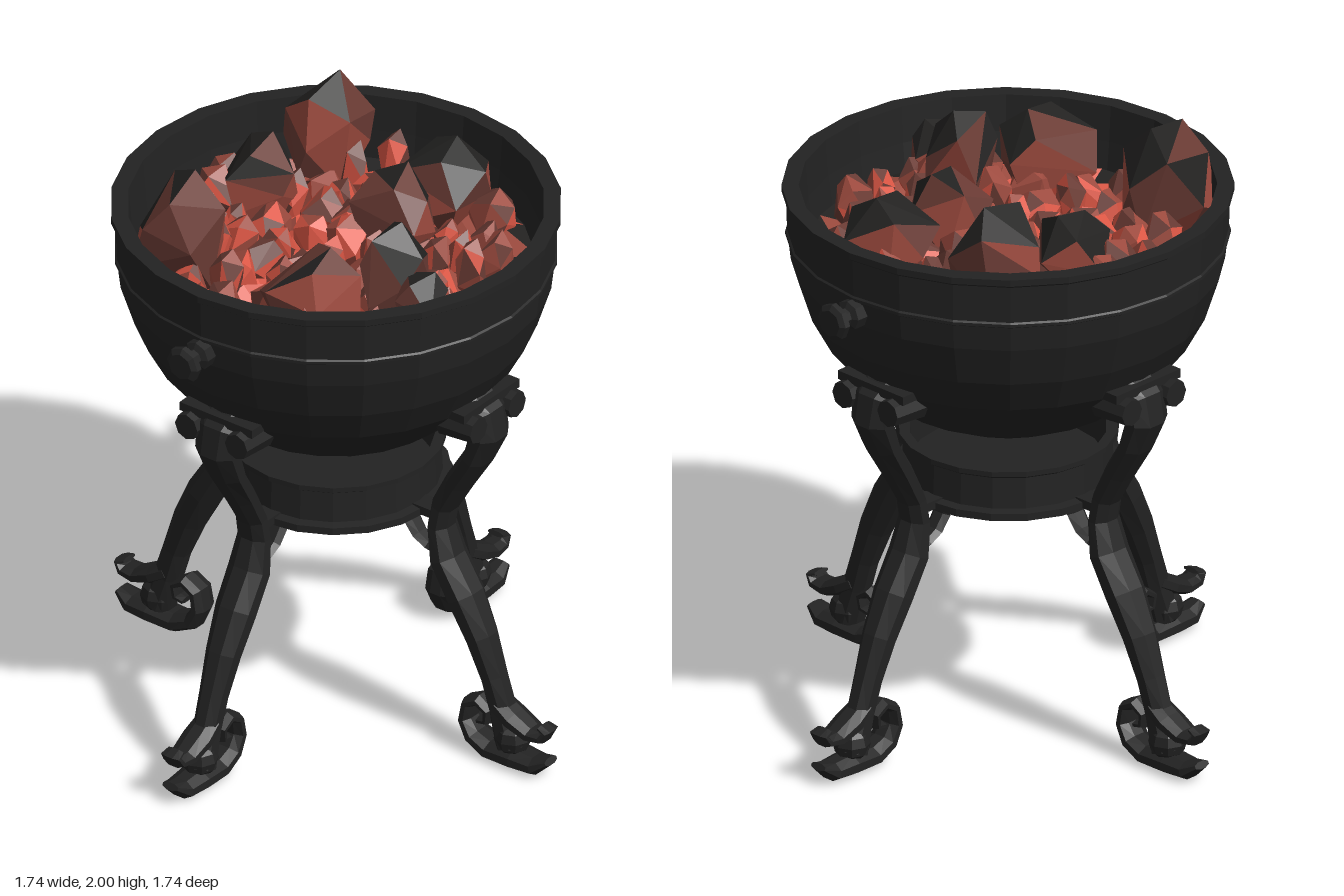
import * as THREE from 'three';
import { ConvexGeometry } from 'three/addons/geometries/ConvexGeometry.js';

const material = (name, color) => {
  const m = new THREE.MeshStandardMaterial({ color });
  m.name = name;
  return m;
};

// Seeded random numbers
function seeded(seed) {
  return () => {
    seed = (seed * 16807) % 2147483647;
    return seed / 2147483647;
  };
}

// Faceted copy of a geometry
function facet(geo) {
  const g = geo.index ? geo.toNonIndexed() : geo;
  g.computeVertexNormals();
  return g;
}

function add(parent, name, geo, mat) {
  const mesh = new THREE.Mesh(facet(geo), mat);
  mesh.name = name;
  parent.add(mesh);
  return mesh;
}

const lathe = (pts, n) => new THREE.LatheGeometry(pts.map(([r, y]) => new THREE.Vector2(r, y)), n);

// Sweep an oval along stations of [x, y, half thickness, half width] in the xy plane
function sweep(stations, sides = 8) {
  const pos = [], index = [], last = stations.length - 1;
  stations.forEach(([x, y, t, w], i) => {
    const a = stations[Math.max(i - 1, 0)], b = stations[Math.min(i + 1, last)];
    const dx = b[0] - a[0], dy = b[1] - a[1], len = Math.hypot(dx, dy);
    for (let j = 0; j < sides; j++) {
      const ang = ((j + 0.5) / sides) * Math.PI * 2;
      const c = Math.cos(ang) * t * 1.08, s = Math.sin(ang) * w * 1.08;
      pos.push(x - (dy / len) * c, y + (dx / len) * c, s);
    }
  });
  for (let i = 0; i < last; i++) {
    for (let j = 0; j < sides; j++) {
      const k = (j + 1) % sides, p = i * sides, q = p + sides;
      index.push(p + j, p + k, q + j, p + k, q + k, q + j);
    }
  }
  for (let j = 1; j < sides - 1; j++) {
    index.push(0, j + 1, j);
    index.push(last * sides, last * sides + j, last * sides + j + 1);
  }
  const g = new THREE.BufferGeometry();
  g.setAttribute('position', new THREE.Float32BufferAttribute(pos, 3));
  g.setIndex(index);
  return g;
}

// Give every triangle a material slot chosen from its centre and normal
function paintFaces(geo, choose) {
  const p = geo.attributes.position, tri = new THREE.Triangle();
  const mid = new THREE.Vector3(), normal = new THREE.Vector3();
  geo.clearGroups();
  for (let i = 0; i < p.count; i += 3) {
    tri.setFromAttributeAndIndices(p, i, i + 1, i + 2);
    geo.addGroup(i, 3, choose(tri.getMidpoint(mid), tri.getNormal(normal)));
  }
}

function makeLeg(iron) {
  const leg = new THREE.Group();
  add(leg, 'legShaft', sweep([
    [0.55, 1.32, 0.04, 0.10], [0.60, 1.27, 0.05, 0.08], [0.615, 1.2, 0.05, 0.075], [0.575, 1.1, 0.04, 0.07],
    [0.5, 0.98, 0.04, 0.06], [0.44, 0.87, 0.037, 0.053], [0.425, 0.79, 0.038, 0.055], [0.45, 0.68, 0.05, 0.068],
    [0.52, 0.56, 0.055, 0.066], [0.585, 0.43, 0.05, 0.055], [0.635, 0.3, 0.043, 0.045],
    [0.67, 0.19, 0.045, 0.042], [0.71, 0.07, 0.055, 0.05],
  ]), iron);
  // Curled ears gripping the bowl
  const slab = add(leg, 'legCrown', new THREE.BoxGeometry(0.1, 0.03, 0.29), iron);
  slab.position.set(0.575, 1.315, 0);
  for (const side of [-1, 1]) {
    const ear = add(leg, 'legEar', new THREE.CylinderGeometry(0.045, 0.055, 0.13, 8).rotateZ(-Math.PI / 2), iron);
    ear.position.set(0.585, 1.265, side * 0.1);
  }
  // Foot with an inner scroll and a raised outer toe
  add(leg, 'footScroll', sweep([
    [0.862, 0.065, 0.012, 0.03], [0.81, 0.035, 0.03, 0.05], [0.73, 0.035, 0.035, 0.056], [0.63, 0.032, 0.032, 0.054],
    [0.565, 0.06, 0.028, 0.05], [0.535, 0.115, 0.022, 0.048], [0.545, 0.175, 0.02, 0.046], [0.59, 0.2, 0.018, 0.045],
    [0.628, 0.175, 0.016, 0.043], [0.622, 0.135, 0.014, 0.04], [0.59, 0.128, 0.012, 0.038],
  ]), iron);
  add(leg, 'footToe', sweep([
    [0.66, 0.21, 0.03, 0.045], [0.72, 0.175, 0.03, 0.052], [0.79, 0.145, 0.024, 0.046],
    [0.84, 0.15, 0.018, 0.042], [0.858, 0.175, 0.014, 0.036], [0.83, 0.185, 0.008, 0.03],
  ]), iron);
  const ball = add(leg, 'footBall', new THREE.SphereGeometry(0.062, 8, 6), iron);
  ball.position.set(0.71, 0.1, 0);
  // Bracket between leg and tray
  add(leg, 'trayBracket', sweep([
    [0.295, 0.83, 0.018, 0.04], [0.3, 0.77, 0.018, 0.035], [0.335, 0.72, 0.018, 0.032],
    [0.38, 0.695, 0.016, 0.03], [0.45, 0.69, 0.016, 0.03],
  ], 6), iron);
  const strut = add(leg, 'trayStrut', new THREE.BoxGeometry(0.1, 0.03, 0.07), iron);
  strut.position.set(0.38, 0.83, 0);
  return leg;
}

export function createModel() {
  const model = new THREE.Group();
  model.name = 'fireBrazier';
  const iron = material('blackIron', 0x222222);
  const coal = material('blackCoal', 0x232221);
  const brown = material('warmCoal', 0x6a3b34);
  const rust = material('hotCoal', 0x9c4a3e);
  const red = material('glowingEmber', 0xdd5745);
  const fire = [coal, brown, rust, red];
  const rand = seeded(4127);

  // Bowl, outside then rim then inside
  add(model, 'bowl', lathe([
    [0, 1.0], [0.13, 1.013], [0.26, 1.05], [0.39, 1.115], [0.5, 1.205], [0.58, 1.3], [0.645, 1.42], [0.69, 1.56],
    [0.7, 1.645], [0.708, 1.65], [0.708, 1.66], [0.702, 1.665], [0.706, 1.79], [0.72, 1.8], [0.72, 1.822], [0.665, 1.822],
    [0.655, 1.7], [0.635, 1.56], [0.56, 1.36], [0.4, 1.2], [0, 1.12],
  ], 24), iron);

  // Side knobs
  for (const side of [-1, 1]) {
    const knob = add(model, 'sideKnob', lathe([
      [0, 0.67], [0.05, 0.67], [0.05, 0.73], [0.03, 0.74], [0.03, 0.77], [0.062, 0.78], [0.062, 0.8], [0.045, 0.812], [0, 0.812],
    ], 8), iron);
    knob.rotation.z = -side * Math.PI / 2;
    knob.position.y = 1.605;
  }

  // Round tray beneath the bowl
  add(model, 'tray', lathe([
    [0, 0.81], [0.37, 0.81], [0.37, 0.835], [0.34, 0.84], [0.335, 0.945], [0.35, 0.955], [0.35, 0.972],
    [0.315, 0.972], [0.31, 0.86], [0, 0.86],
  ], 20), iron);

  for (let i = 0; i < 4; i++) {
    const leg = makeLeg(iron);
    leg.name = 'leg';
    leg.rotation.y = i * Math.PI / 2;
    model.add(leg);
  }

  // Bed of embers
  const bed = new THREE.RingGeometry(0.001, 0.635, 22, 7).rotateX(-Math.PI / 2);
  const bp = bed.attributes.position;
  for (let i = 0; i < bp.count; i++) {
    const x = bp.getX(i), z = bp.getZ(i), r = Math.hypot(x, z);
    const bump = Math.sin(x * 23 + 1) * Math.cos(z * 27) + Math.sin(x * 41 - z * 37);
    bp.setY(i, 1.61 + (r < 0.6 && r > 0.01 ? bump * 0.025 : 0));
  }
  const bedFaces = facet(bed);
  paintFaces(bedFaces, (c) => {
    const r = Math.hypot(c.x, c.z);
    if (r > 0.57) return 0;
    return rand() < 0.85 - r * 0.7 ? 3 : 2;
  });
  add(model, 'emberBed', bedFaces, fire);

  // One lump: hull of scattered points, its peak placed at the given height
  function lump(name, x, z, top, radius, choose) {
    const half = (top - 1.55) / 2, pts = [];
    for (let i = 0; i < 13; i++) {
      const u = 1 - (2 * (i + 0.5)) / 13, a = i * 2.4 + rand() * 1.1;
      const s = Math.sqrt(1 - u * u), k = radius * (0.85 + rand() * 0.3);
      pts.push(new THREE.Vector3(s * Math.cos(a) * k, u * half, s * Math.sin(a) * k));
    }
    const g = new ConvexGeometry(pts);
    g.computeBoundingBox();
    g.translate(x, top - g.boundingBox.max.y, z);
    paintFaces(g, choose);
    add(model, name, g, fire);
  }

  // Large coals, dark on top and glowing below: x, z, peak, radius
  const large = [
    [-0.4, -0.31, 2.0, 0.17], [0.38, -0.33, 1.99, 0.165], [0.1, -0.37, 1.88, 0.145], [-0.37, 0.19, 1.9, 0.165],
    [0.18, 0.1, 1.9, 0.14], [0.42, 0.11, 1.89, 0.16], [-0.14, 0.32, 1.93, 0.13], [-0.17, 0.48, 1.83, 0.1],
  ];
  for (const [x, z, top, radius] of large) {
    lump('largeCoal', x, z, top, radius, (c, n) => {
      if (c.y < 1.64) return 3;
      if (n.y > 0.35) return rand() < 0.7 ? 0 : 1;
      return rand() < 0.55 ? 1 : 2;
    });
  }

  // Small embers scattered in rings
  for (let i = 0; i < 64; i++) {
    const r = 0.54 * Math.sqrt((i + 0.5) / 64), a = i * 2.4 + rand() * 0.3;
    const top = 1.66 + 0.1 * r + rand() * 0.09;
    lump('smallEmber', r * Math.cos(a), r * Math.sin(a), top, 0.05 + rand() * 0.035, (c, n) => {
      const heat = rand() + (n.y < 0.4 ? 0.25 : 0) - r * 0.5;
      return heat > 0.65 ? 3 : heat > 0.25 ? 2 : 1;
    });
  }
  return model;
}
